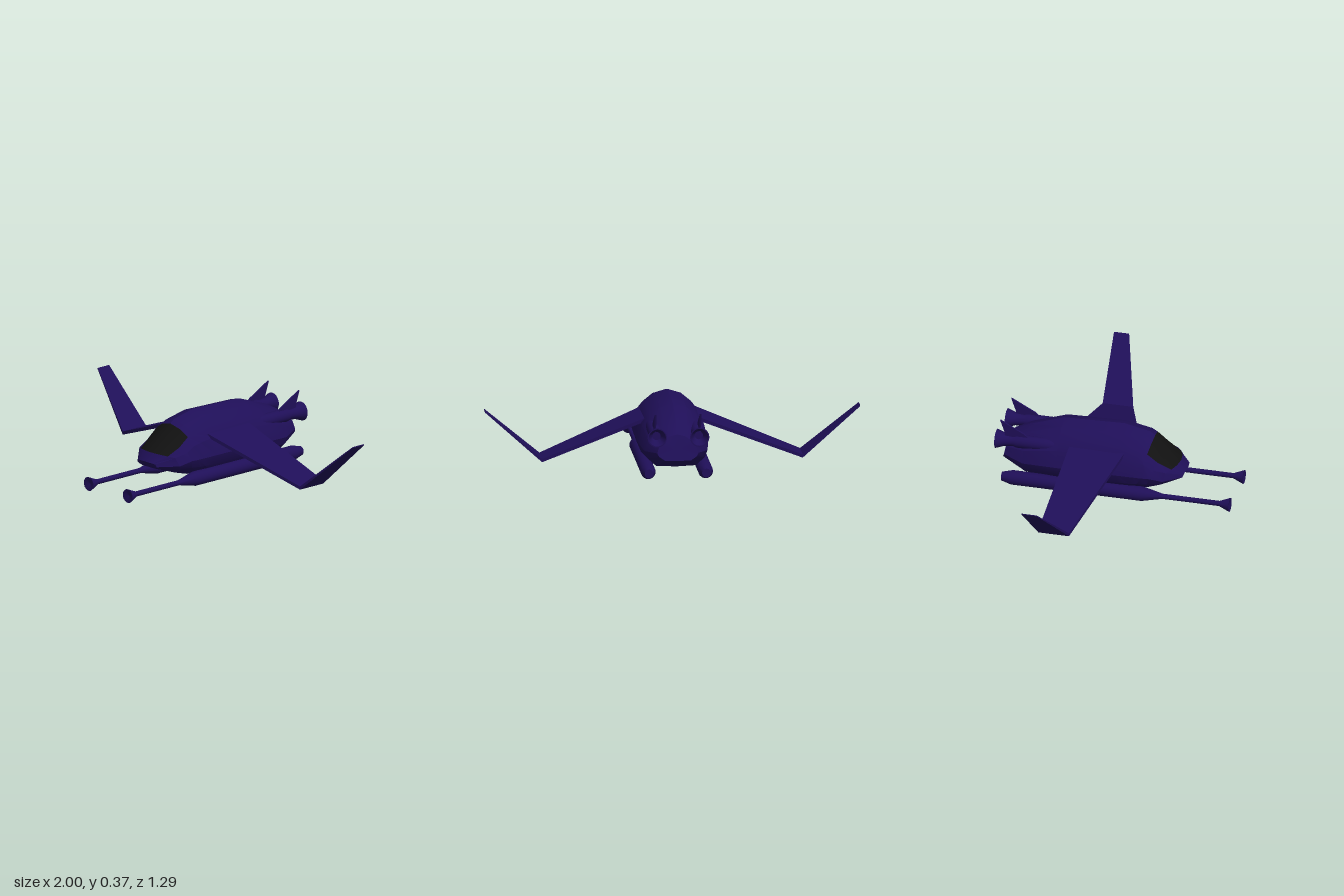
import * as THREE from 'three';
import { toCreasedNormals } from 'three/addons/utils/BufferGeometryUtils.js';

const paint = new THREE.MeshStandardMaterial({ color: 0x1f0f58 });
const glass = new THREE.MeshStandardMaterial({ color: 0x111111 });

function part(name, geometry, material = paint) {
  const mesh = new THREE.Mesh(geometry, material);
  mesh.name = name;
  return mesh;
}

// Skin closed cross-sections; keep(i, j) picks which panels to build
function loft(rings, crease, keep = () => true, caps = true) {
  const pos = [];
  const n = rings[0].length;
  const tri = (...pts) => pts.forEach((p) => pos.push(...p));
  for (let i = 0; i < rings.length - 1; i++) {
    for (let j = 0; j < n; j++) {
      if (!keep(i, j)) continue;
      const k = (j + 1) % n;
      const [a, b, c, d] = [rings[i][j], rings[i][k], rings[i + 1][k], rings[i + 1][j]];
      tri(a, b, c);
      tri(a, c, d);
    }
  }
  if (caps) {
    [rings[0], rings[rings.length - 1]].forEach((ring, end) => {
      const mid = [0, 1, 2].map((q) => ring.reduce((s, p) => s + p[q], 0) / n);
      for (let j = 0; j < n; j++) {
        const k = (j + 1) % n;
        if (end) tri(mid, ring[j], ring[k]);
        else tri(mid, ring[k], ring[j]);
      }
    });
  }
  const g = new THREE.BufferGeometry();
  g.setAttribute('position', new THREE.Float32BufferAttribute(pos, 3));
  g.computeVertexNormals();
  return toCreasedNormals(g, crease);
}

// Turned part along z; profile is [radius, z] from back to front
function turned(profile, x, y) {
  const g = new THREE.LatheGeometry(profile.map(([r, z]) => new THREE.Vector2(r, z)), 20);
  g.rotateX(Math.PI / 2).translate(x, y, 0);
  return toCreasedNormals(g, 0.5);
}

// Half hull section, top centre to bottom centre: across 0..1, height 1..-1
const section = [[0, 1], [.37, .9], [.66, .69], [.88, .44], [1, 0], [.91, -.45], [.63, -.94], [0, -1]];

// Hull ring from its top, widest and bottom lines; low fullness squares the top
function hullRing([width, yTop, ySide, yLow, zTop, zSide, zLow, fullness]) {
  const half = section.map(([u, v]) => (v >= 0
    ? [u * width, ySide + (yTop - ySide) * v ** fullness, zTop + (zSide - zTop) * u * u]
    : [u * width, ySide + (ySide - yLow) * v, zSide + (zSide - zLow) * v]));
  return [...half, ...half.slice(1, -1).reverse().map(([x, y, z]) => [-x, y, z])];
}

function fuselage() {
  const rings = [
    [.076, .142, .125, .11, .375, .364, .356, .3], // nose
    [.16, .187, .13, .075, .34, .275, .25, .3], // windscreen bottom
    [.182, .25, .15, .055, .272, .205, .18, 1], // windscreen middle
    [.186, .318, .15, .044, .197, .165, .1, 1], // windscreen top
    [.187, .337, .15, .038, .17, .12, .07, 1],
    [.188, .367, .15, .035, .03, .03, .03, 1],
    [.188, .357, .15, .035, -.3, -.3, -.3, 1],
    [.168, .29, .14, .054, -.49, -.49, -.49, 1],
    [.11, .245, .15, .11, -.575, -.605, -.62, 1], // tail
  ].map(hullRing);
  const isGlass = (i, j) => (i === 1 || i === 2) && (j < 2 || j > 11);
  return [
    part('fuselage', loft(rings, 0.45, (i, j) => !isGlass(i, j))),
    part('windscreen', loft(rings, 0.6, isGlass, false), glass),
  ];
}

// Cranked wing: [x, y, leading z, trailing z, thickness]
function wing(side) {
  const rings = [
    [.12, .266, .07, -.237, .02],
    [.695, .052, -.1, -.268, .018],
    [1, .323, -.2, -.283, .006],
  ].map(([x, y, lead, trail, t]) => {
    const ring = [
      [side * x, y + t / 2, trail], [side * x, y + t / 2, lead],
      [side * x, y - t / 2, lead], [side * x, y - t / 2, trail],
    ];
    return side > 0 ? ring : ring.reverse();
  });
  return loft(rings, 0.2);
}

// Swept fin on top of each engine
function fin(x) {
  const shape = new THREE.Shape([[.46, .265], [.6, .265], [.595, .285], [.622, .363], [.49, .292]]
    .map(([z, y]) => new THREE.Vector2(z, y)));
  const g = new THREE.ExtrudeGeometry(shape, { depth: .01, bevelEnabled: false });
  return g.translate(0, 0, -.005).rotateY(Math.PI / 2).translate(x, 0, 0);
}

export function createModel() {
  const model = new THREE.Group();
  model.name = 'spacecraft';
  model.add(...fuselage());

  const engine = [[0, -.59], [.022, -.59], [.046, -.645], [.052, -.645], [.034, -.595],
    [.03, -.55], [.036, -.53], [.036, -.32], [.022, -.26], [0, -.25]];
  const cannon = [[0, -.605], [.024, -.605], [.039, -.55], [.039, .165], [.014, .275],
    [.014, .587], [.038, .645], [.03, .645], [0, .632]];

  for (const side of [1, -1]) {
    const label = side > 0 ? 'left' : 'right';
    model.add(
      part(label + 'Wing', wing(side)),
      part(label + 'Engine', turned(engine, side * .113, .242)),
      part(label + 'Fin', fin(side * .12)),
      part(label + 'Cannon', turned(cannon, side * .153, .039)),
    );
  }
  return model;
}
